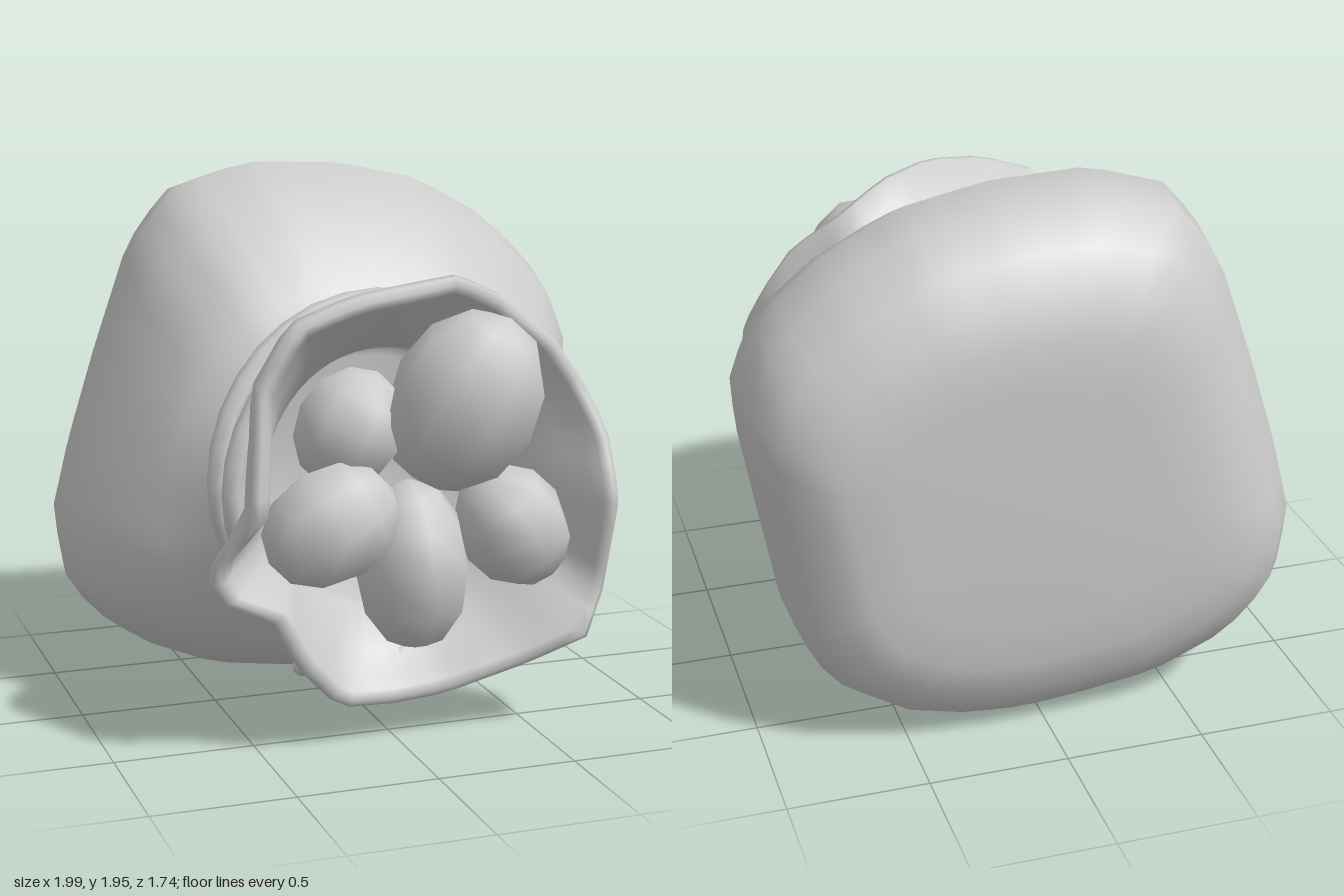
import * as THREE from 'three';

const N = 60;
const CX = 0.06, CY = 0.9; // axis of the neck and mouth
const mat = new THREE.MeshStandardMaterial({ color: 0xcccccc, side: THREE.DoubleSide });
const lerp = THREE.MathUtils.lerp;

// Widest outline of the sack, counter-clockwise
const OUTLINE = [[0.99, 1.13], [1, 1.33], [0.91, 1.54], [0.7, 1.73], [0.43, 1.88], [0.12, 1.945], [-0.24, 1.96],
  [-0.53, 1.87], [-0.68, 1.67], [-0.82, 1.27], [-0.93, 0.92], [-1, 0.64], [-0.96, 0.39], [-0.78, 0.2], [-0.48, 0.07],
  [-0.2, 0.03], [0.06, 0.005], [0.29, 0.02], [0.53, 0.08], [0.75, 0.22], [0.87, 0.44], [0.93, 0.78]];

// Wavy edge of the open mouth: x, y, z
const RIM = [[0.78, 1.08, 0.64], [0.71, 1.25, 0.57], [0.6, 1.41, 0.55], [0.43, 1.55, 0.48], [0.24, 1.64, 0.57],
  [0.02, 1.645, 0.73], [-0.21, 1.62, 0.77], [-0.44, 1.54, 0.78], [-0.56, 1.33, 0.76], [-0.6, 0.9, 0.82],
  [-0.71, 0.69, 0.69], [-0.66, 0.59, 0.7], [-0.48, 0.5, 0.7], [-0.39, 0.33, 0.7], [-0.22, 0.15, 0.63],
  [-0.01, 0.135, 0.61], [0.18, 0.155, 0.62], [0.47, 0.25, 0.67], [0.67, 0.35, 0.74], [0.77, 0.5, 0.66], [0.79, 0.85, 0.73]];

// Point of a closed outline at a given angle around (cx, cy)
function atAngle(pts, cx, cy, a) {
  const turn = 2 * Math.PI, wrap = v => ((v % turn) + turn) % turn;
  const ang = p => Math.atan2(p[1] - cy, p[0] - cx);
  for (let i = 0; i < pts.length; i++) {
    const p = pts[i], q = pts[(i + 1) % pts.length];
    const span = wrap(ang(q) - ang(p)), d = wrap(a - ang(p));
    if (d <= span) return p.map((v, k) => lerp(v, q[k], d / span));
  }
  return pts[0];
}

// The tied part leans back at the top and a little at the bottom
const lean = a => { const s = Math.sin(a); return s > 0 ? -0.12 * s * s : -0.04 * s * s; };

// Cross-section fitted to a box; round = 0 gives the sack outline, 1 an ellipse
function section(z, x0, x1, y0, y1, round = 0, tilt = 0) {
  return a => {
    const o = atAngle(OUTLINE, 0, 0.985, a);
    const u = lerp(o[0], Math.cos(a), round), v = lerp((o[1] - 0.985) / 0.975, Math.sin(a), round);
    return [(x0 + x1) / 2 + u * (x1 - x0) / 2, (y0 + y1) / 2 + v * (y1 - y0) / 2, z + tilt * lean(a)];
  };
}

// Ring following the mouth edge, pulled towards the axis by inset and back by dz
function rimRing(inset, dz) {
  return a => {
    const p = atAngle(RIM, CX, CY, a);
    return [p[0] - Math.cos(a) * inset, p[1] - Math.sin(a) * inset, p[2] + dz];
  };
}

function blend(f, g, t, tz) {
  return a => { const p = f(a), q = g(a); return [lerp(p[0], q[0], t), lerp(p[1], q[1], t), lerp(p[2], q[2], tz)]; };
}

function loft(rings) {
  const pos = [], idx = [];
  rings.forEach((ring, i) => {
    for (let j = 0; j < N; j++) {
      pos.push(...ring(j / N * Math.PI * 2));
      if (i === rings.length - 1) continue;
      const a = i * N + j, b = i * N + (j + 1) % N;
      idx.push(a, b, b + N, a, b + N, a + N);
    }
  });
  const g = new THREE.BufferGeometry();
  g.setAttribute('position', new THREE.Float32BufferAttribute(pos, 3));
  g.setIndex(idx);
  g.computeVertexNormals();
  return g;
}

export function createModel() {
  const model = new THREE.Group();
  const add = (name, geometry, parent = model) => {
    const m = new THREE.Mesh(geometry, mat);
    m.name = name;
    parent.add(m);
    return m;
  };

  // Sack: back, belly, neck, flared mouth, rolled edge, inner wall and floor
  const neck = section(0.4, -0.48, 0.58, 0.38, 1.39, 1, 1);
  const inner = section(0.38, -0.42, 0.53, 0.43, 1.35, 1, 1);
  const edge = rimRing(0, -0.05), innerEdge = rimRing(0.085, -0.06);
  add('sack', loft([
    () => [0.07, 0.92, -0.875],
    section(-0.87, -0.45, 0.57, 0.5, 1.4),
    section(-0.855, -0.63, 0.73, 0.32, 1.54),
    section(-0.82, -0.76, 0.82, 0.2, 1.67),
    section(-0.74, -0.88, 0.93, 0.08, 1.81),
    section(-0.6, -0.97, 0.99, 0.015, 1.93),
    section(-0.4, -1, 1, 0.01, 1.96),
    section(-0.2, -0.95, 0.98, 0.03, 1.86),
    section(0, -0.84, 0.9, 0.1, 1.69, 0.2),
    section(0.13, -0.73, 0.8, 0.2, 1.54, 0.5, 0.2),
    section(0.25, -0.58, 0.69, 0.31, 1.47, 0.9, 0.8),
    section(0.32, -0.51, 0.62, 0.36, 1.42, 1, 1),
    neck,
    blend(neck, edge, 0.35, 0.32),
    blend(neck, edge, 0.75, 0.68),
    edge,
    rimRing(0.005, -0.015),
    rimRing(0.03, 0.005),
    rimRing(0.06, -0.01),
    innerEdge,
    blend(inner, innerEdge, 0.6, 0.62),
    inner,
    section(0.25, -0.45, 0.56, 0.4, 1.35, 1, 1),
    section(0.12, -0.4, 0.5, 0.45, 1.3, 1),
    () => [CX, CY, 0.1],
  ]));

  // Rope wound twice around the neck
  const rope = new THREE.Group();
  rope.name = 'rope';
  model.add(rope);
  const tube = (name, pts, closed, r = 0.04) => {
    const curve = new THREE.CatmullRomCurve3(pts.map(p => new THREE.Vector3(...p)), closed);
    add(name, new THREE.TubeGeometry(curve, closed ? 32 : 14, r, 8, closed), rope);
    if (closed) return;
    for (const p of [pts[0], pts[pts.length - 1]]) {
      add(name + 'Tip', new THREE.SphereGeometry(r, 8, 6), rope).position.set(...p);
    }
  };
  [section(0.31, -0.56, 0.69, 0.31, 1.51, 1, 1), section(0.39, -0.53, 0.62, 0.33, 1.43, 1, 1)].forEach((ring, k) => {
    const pts = [];
    for (let j = 0; j < 16; j++) pts.push(ring(j / 16 * Math.PI * 2));
    tube('ropeLoop' + (k + 1), pts, true, 0.045);
  });

  // Knot underneath with two loose ends
  tube('knotLoop', [[-0.02, 0.3, 0.38], [0.03, 0.25, 0.42], [0.11, 0.25, 0.39], [0.13, 0.28, 0.3], [0.06, 0.29, 0.27], [0, 0.3, 0.32]], true);
  tube('knotCross', [[-0.05, 0.31, 0.32], [0.03, 0.24, 0.34], [0.12, 0.25, 0.39], [0.17, 0.29, 0.4]], false);
  tube('ropeEndLeft', [[0.06, 0.27, 0.46], [0.15, 0.26, 0.36], [0.33, 0.19, 0.15]], false);
  tube('ropeEndRight', [[0.08, 0.27, 0.43], [-0.04, 0.23, 0.3], [-0.18, 0.13, 0.07]], false);

  // Stones in the mouth: position, radii, tilt about z and x
  const stones = new THREE.Group();
  stones.name = 'stones';
  model.add(stones);
  [
    [[0.24, 1.21, 0.6], [0.27, 0.335, 0.27], -0.4, 0.3],
    [[-0.13, 1.11, 0.45], [0.2, 0.22, 0.2], -0.5, 0],
    [[-0.25, 0.81, 0.61], [0.21, 0.25, 0.22], -1.1, 0],
    [[0.08, 0.62, 0.52], [0.21, 0.31, 0.23], 0.05, 0],
    [[0.43, 0.75, 0.59], [0.2, 0.23, 0.21], 0.6, 0],
  ].forEach(([p, s, rz, rx], i) => {
    const m = add('stone' + (i + 1), new THREE.SphereGeometry(1, 8, 6), stones);
    m.position.set(...p);
    m.scale.set(...s);
    m.rotation.set(rx, 0, rz);
  });

  return model;
}
